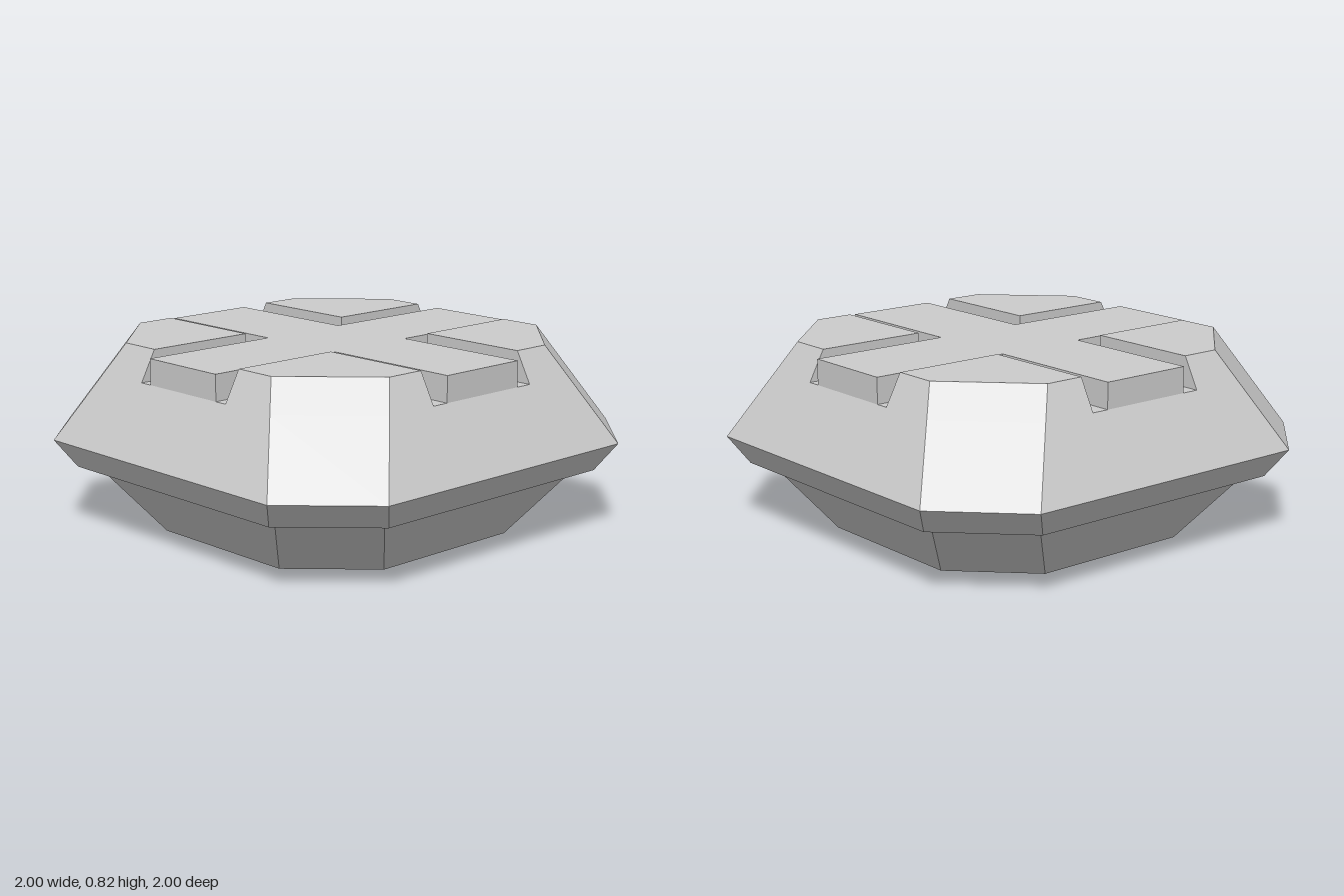
import * as THREE from 'three';

const material = new THREE.MeshStandardMaterial({ color: 0xcccccc, flatShading: true });

// Square of half-width h with chamfered corners; c is half the straight edge.
const octagon = (h, c) => [[h, -c], [h, c], [c, h], [-c, h], [-h, c], [-h, -c], [-c, -h], [c, -h]];

// Capped solid through convex sections { y, pts: [[x, z], ...] }, bottom to top.
function loft(sections) {
  const pos = [];
  const tri = (...corners) => corners.forEach(([p, y]) => pos.push(p[0], y, p[1]));
  const n = sections[0].pts.length;
  for (let s = 0; s < sections.length - 1; s++) {
    const lo = sections[s], hi = sections[s + 1];
    for (let i = 0; i < n; i++) {
      const j = (i + 1) % n;
      const a = [lo.pts[i], lo.y], b = [lo.pts[j], lo.y];
      const c = [hi.pts[j], hi.y], d = [hi.pts[i], hi.y];
      tri(a, d, c);
      tri(a, c, b);
    }
  }
  const first = sections[0], last = sections[sections.length - 1];
  for (let i = 1; i < n - 1; i++) {
    tri([first.pts[0], first.y], [first.pts[i], first.y], [first.pts[i + 1], first.y]);
    tri([last.pts[0], last.y], [last.pts[i + 1], last.y], [last.pts[i], last.y]);
  }
  const geometry = new THREE.BufferGeometry();
  geometry.setAttribute('position', new THREE.Float32BufferAttribute(pos, 3));
  geometry.computeVertexNormals();
  return geometry;
}

export function createModel() {
  const group = new THREE.Group();
  const add = (name, geometry) => {
    const mesh = new THREE.Mesh(geometry, material);
    mesh.name = name;
    group.add(mesh);
    return mesh;
  };

  const rimY = 0.4, floorY = 0.69, topY = 0.82, crossY = 0.8;
  const grooveX = 0.265, grooveZ = 0.283, arm = 0.207;
  // Sloping upper wall: inset grows linearly from the rim to the top.
  const inset = (y) => 0.225 * (y - rimY) / (topY - rimY);
  const half = (y) => 1 - inset(y);
  const corner = (y) => 0.68 - inset(y);

  // Tapered base
  add('base', loft([
    { y: 0, pts: octagon(0.657, 0.36) },
    { y: 0.285, pts: octagon(0.862, 0.565) },
  ]));

  // Overhanging shell up to the groove floor
  add('shell', loft([
    { y: 0.285, pts: octagon(0.93, 0.61) },
    { y: rimY, pts: octagon(1, 0.68) },
    { y: floorY, pts: octagon(half(floorY), corner(floorY)) },
  ]));

  // Four corner blocks left standing between the grooves
  for (const sx of [-1, 1]) for (const sz of [-1, 1]) {
    const section = (y) => {
      const h = half(y), c = corner(y);
      const pts = [[grooveX, grooveZ], [h, grooveZ], [h, c], [c, h], [grooveX, h]]
        .map(([x, z]) => [x * sx, z * sz]);
      return { y, pts: sx * sz < 0 ? pts.reverse() : pts };
    };
    add(`${sz > 0 ? 'front' : 'back'}${sx > 0 ? 'Left' : 'Right'}Block`,
      loft([section(floorY), section(topY)]));
  }

  // Raised cross inside the grooves
  const r = half(floorY);
  const outline = [
    [r, -arm], [r, arm], [arm, arm], [arm, r], [-arm, r], [-arm, arm],
    [-r, arm], [-r, -arm], [-arm, -arm], [-arm, -r], [arm, -r], [arm, -arm],
  ].map(([x, y]) => new THREE.Vector2(x, y));
  const cross = new THREE.ExtrudeGeometry(new THREE.Shape(outline),
    { depth: crossY - floorY, bevelEnabled: false });
  cross.rotateX(-Math.PI / 2);
  add('cross', cross).position.y = floorY;

  return group;
}
